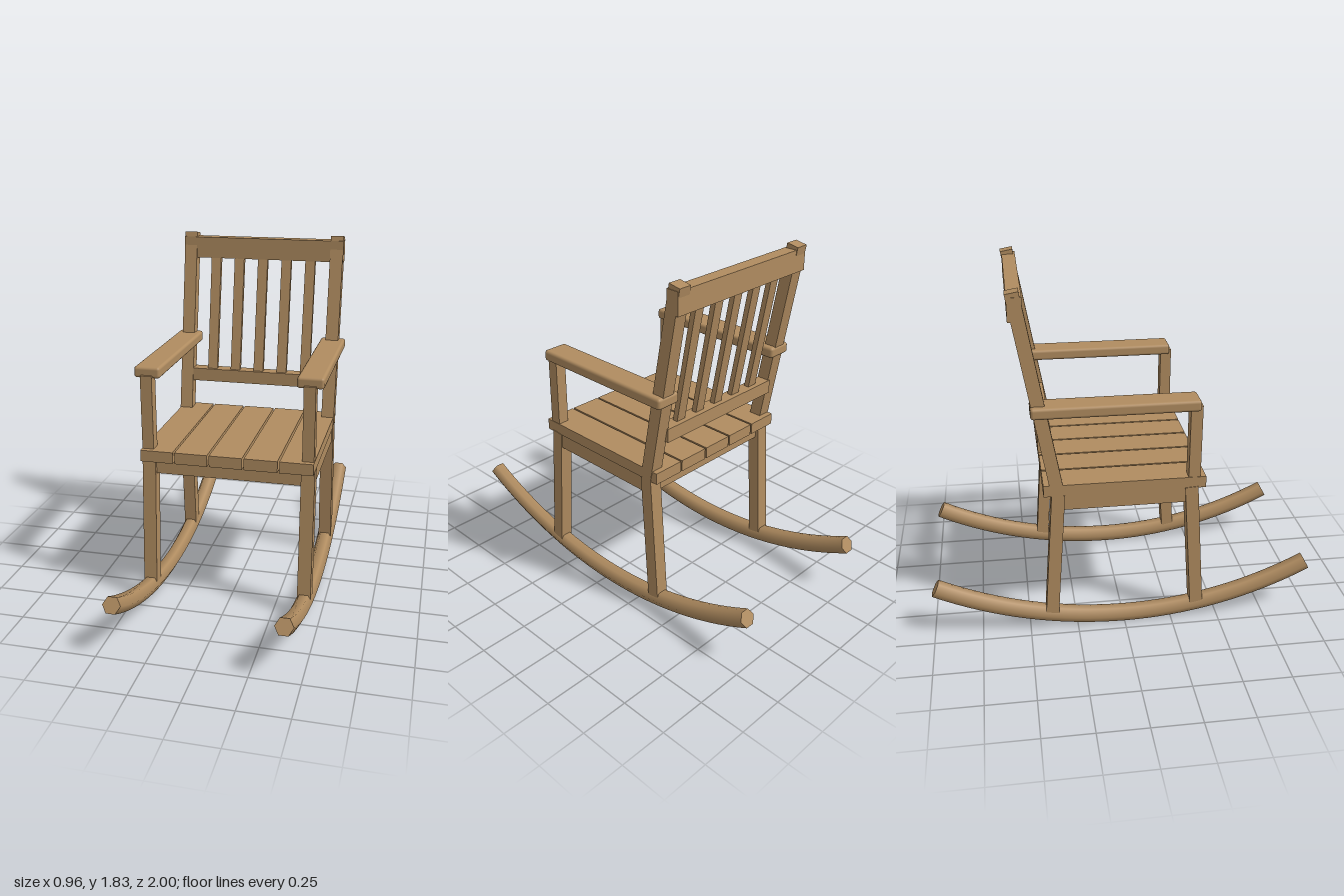
import * as THREE from 'three';
import { RoundedBoxGeometry } from 'three/addons/geometries/RoundedBoxGeometry.js';

const POST_X = 0.413;                        // centre line of legs, posts and arms
const postZ = (y) => -0.337 - 0.178 * (y - 0.79); // lean of the backrest

export function createModel() {
  const group = new THREE.Group();
  const wood = new THREE.MeshStandardMaterial({ color: 0xb08c60 });
  wood.name = 'wood';

  const add = (name, geometry, parent = group) => {
    const mesh = new THREE.Mesh(geometry, wood);
    mesh.name = name;
    parent.add(mesh);
    return mesh;
  };
  const box = (name, w, h, d, x, y, z) => {
    const mesh = add(name, new THREE.BoxGeometry(w, h, d));
    mesh.position.set(x, y, z);
    return mesh;
  };
  // Square bar running between two points that share the same x
  const bar = (name, w, d, x, y0, z0, y1, z1) => {
    const dy = y1 - y0, dz = z1 - z0;
    const mesh = box(name, w, Math.hypot(dy, dz), d, x, (y0 + y1) / 2, (z0 + z1) / 2);
    mesh.rotation.x = Math.atan2(dz, dy);
    return mesh;
  };

  // Rockers: hexagonal bars bent along an arc, with flat ends
  const R = 2.12, span = 0.98, r = 0.046, low = 0.04;
  const half = Math.asin(span / R);
  class RockerArc extends THREE.Curve {
    getPoint(t, target = new THREE.Vector3()) {
      const a = (2 * t - 1) * half;
      return target.set(0, low + R * (1 - Math.cos(a)), R * Math.sin(a));
    }
  }
  const rockerGeometry = new THREE.TubeGeometry(new RockerArc(), 32, r, 6, false);
  const capGeometry = new THREE.CircleGeometry(r, 6);

  for (const [side, s] of [['left', 1], ['right', -1]]) {
    const x = s * POST_X;

    const rocker = new THREE.Group();
    rocker.name = side + 'Rocker';
    rocker.position.x = x;
    group.add(rocker);
    add(side + 'RockerBar', rockerGeometry, rocker);
    for (const e of [1, -1]) {
      const cap = add(side + 'RockerEnd', capGeometry, rocker);
      cap.position.set(0, low + R * (1 - Math.cos(half)), e * span);
      cap.rotation.set(-e * half, e > 0 ? 0 : Math.PI, 0);
    }

    // Splayed legs
    bar(side + 'FrontLeg', 0.07, 0.067, x, 0.06, 0.386, 0.79, 0.337);
    bar(side + 'BackLeg', 0.07, 0.067, x, 0.06, -0.386, 0.79, -0.337);

    // Leaning back post
    bar(side + 'BackPost', 0.07, 0.066, x, 0.785, postZ(0.785), 1.826, postZ(1.826));

    // Armrest and its support
    box(side + 'ArmSupport', 0.06, 0.39, 0.06, x, 1.035, 0.35);
    const arm = add(side + 'Armrest', new RoundedBoxGeometry(0.135, 0.058, 0.825, 2, 0.015));
    arm.position.set(x, 1.243, -0.048);

    // Side apron
    box(side + 'Apron', 0.055, 0.08, 0.64, x, 0.745, 0);
  }

  // Front and back aprons
  for (const [name, z] of [['frontApron', 0.33], ['backApron', -0.33]]) {
    box(name, 0.77, 0.08, 0.055, 0, 0.745, z);
  }

  // Seat planks
  for (let i = -2; i <= 2; i++) {
    box('seatPlank', 0.17, 0.06, 0.82, i * 0.18, 0.815, 0);
  }

  // Backrest rails and slats
  box('topRail', 0.9, 0.115, 0.07, 0, 1.748, -0.511);
  box('lowerRail', 0.77, 0.072, 0.072, 0, 1.036, -0.391);
  for (let i = -2; i <= 2; i++) {
    bar('backSlat', 0.055, 0.028, i * 0.134, 1.04, postZ(1.04), 1.72, postZ(1.72));
  }

  return group;
}
